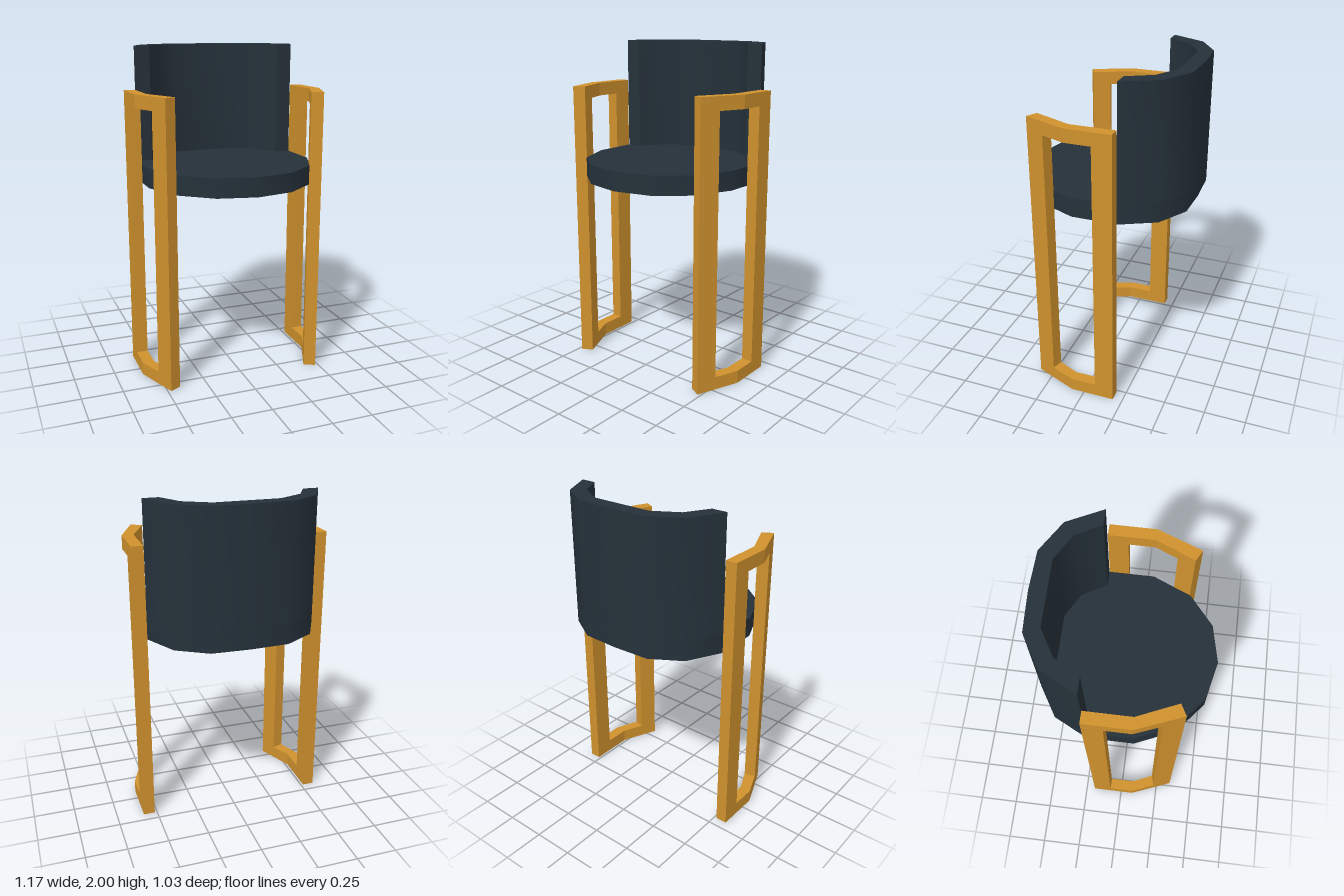
import * as THREE from 'three';
import { toCreasedNormals } from 'three/addons/utils/BufferGeometryUtils.js';

const upholstery = new THREE.MeshStandardMaterial({ name: 'dark upholstery', color: 0x25313a });
const wood = new THREE.MeshStandardMaterial({ name: 'golden wood', color: 0xcf912d });

// Upright prism from a plan outline of [x, z] points
function prism(name, plan, y0, y1, material, crease = 0.2) {
  const shape = new THREE.Shape(plan.map(([x, z]) => new THREE.Vector2(x, -z)));
  const geometry = new THREE.ExtrudeGeometry(shape, { depth: y1 - y0, bevelEnabled: false });
  geometry.rotateX(-Math.PI / 2).translate(0, y0, 0);
  const mesh = new THREE.Mesh(toCreasedNormals(geometry, crease), material);
  mesh.name = name;
  return mesh;
}

// Closes a half outline by mirroring it across x = 0
const mirrored = (half) =>
  [...half, ...half.filter(([x]) => x > 0).reverse().map(([x, z]) => [-x, z])];

export function createModel() {
  const model = new THREE.Group();
  model.name = 'chair';

  // Seat: a faceted disc
  const rear = [[0.515, -0.195], [0.412, -0.4], [0.23, -0.51], [0, -0.52]];
  const seatHalf = [[0, 0.515], [0.23, 0.465], [0.413, 0.315], [0.515, 0.08], ...rear];
  model.add(prism('seat', mirrored(seatHalf), 1.19, 1.305, upholstery, 0.7));

  // Backrest: a wall wrapped around the rear of the seat
  const inner = [[0.42, -0.195], [0.34, -0.34], [0.19, -0.425]];
  const flip = (points) => points.map(([x, z]) => [-x, z]);
  const backPlan = [
    ...rear, ...flip(rear.slice(0, 3)).reverse(),
    ...flip(inner), ...[...inner].reverse(),
  ];
  model.add(prism('backrest', backPlan, 1.305, 2, upholstery, 0.7));

  // Side frames: two posts joined by bent rails at floor and arm height
  for (const side of [1, -1]) {
    const frame = new THREE.Group();
    frame.name = side > 0 ? 'leftLegFrame' : 'rightLegFrame';
    const add = (name, plan, y0, y1) =>
      frame.add(prism(name, plan.map(([x, z]) => [side * x, z]), y0, y1, wood));

    add('frontPost', [[0.415, 0.31], [0.48, 0.345], [0.526, 0.23], [0.458, 0.21]], 0, 1.74);
    add('rearPost', [[0.515, -0.075], [0.585, -0.075], [0.585, -0.192], [0.515, -0.192]], 0, 1.74);
    const rail = [
      [0.458, 0.21], [0.526, 0.23], [0.585, 0.08],
      [0.585, -0.075], [0.515, -0.075], [0.515, 0.08],
    ];
    add('floorRail', rail, 0, 0.08);
    add('armRail', rail, 1.66, 1.74);
    model.add(frame);
  }
  return model;
}
